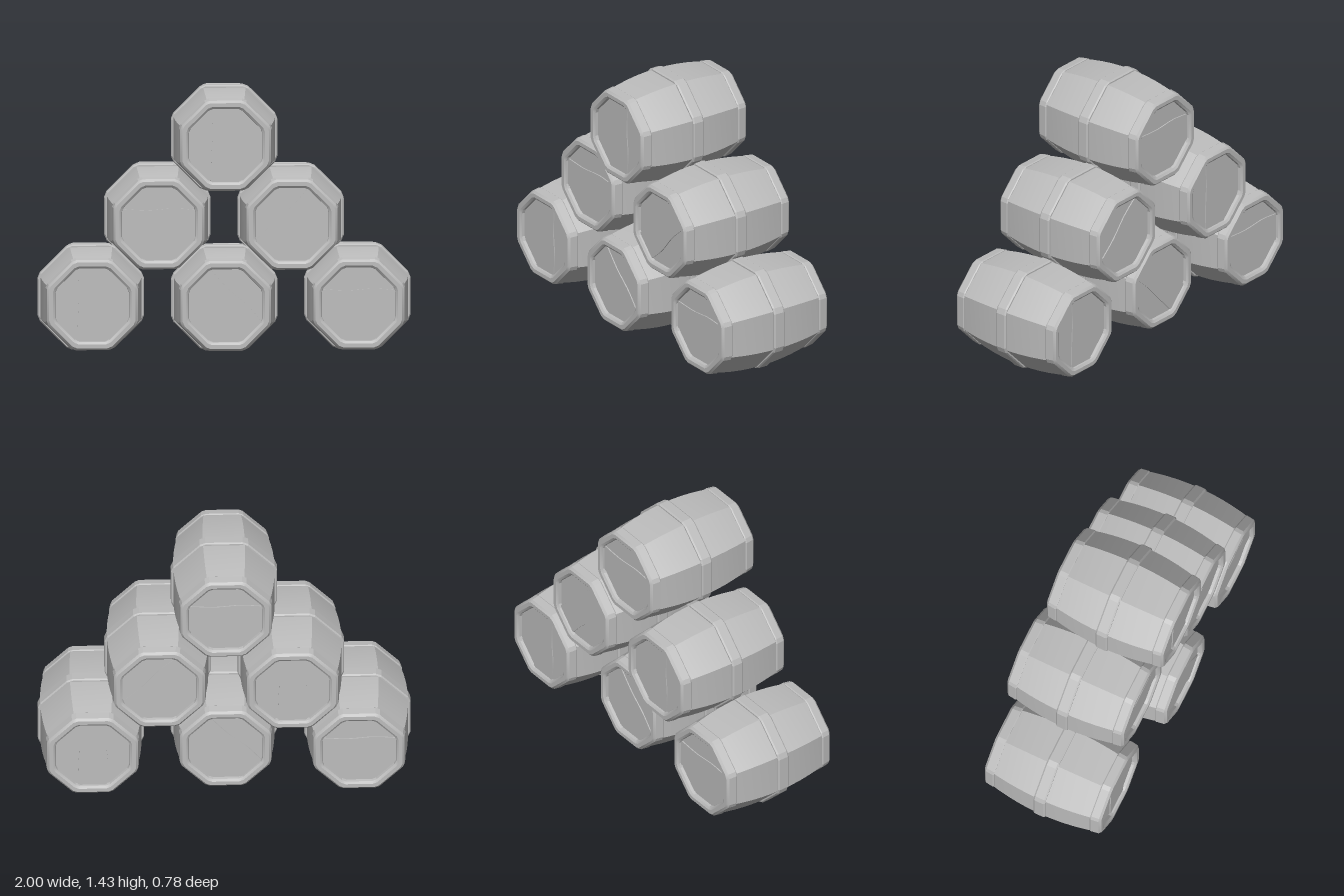
import * as THREE from 'three';
import { toCreasedNormals } from 'three/addons/utils/BufferGeometryUtils.js';

const wood = new THREE.MeshStandardMaterial({ color: 0xbcbcbc });
wood.name = 'grey wood';

// Octagon with flat sides at distance a from the axis; chamfer trims its corners
function octagon(a, chamfer = 0) {
  const half = a * Math.tan(Math.PI / 8) - chamfer;
  const points = [];
  for (let k = 0; k < 8; k++) {
    const t = (k * Math.PI) / 4;
    for (const s of chamfer ? [-half, half] : [half]) {
      points.push(new THREE.Vector2(a * Math.cos(t) - s * Math.sin(t), a * Math.sin(t) + s * Math.cos(t)));
    }
  }
  return points;
}

// Skin over octagonal sections, profile = [distance, z] from back to front
function loft(profile, chamfer) {
  const pos = [];
  const rings = profile.map(([a, z]) => octagon(a, chamfer).map(p => [p.x, p.y, z]));
  for (let r = 0; r < rings.length - 1; r++) {
    const A = rings[r], B = rings[r + 1], n = A.length;
    for (let i = 0; i < n; i++) {
      const j = (i + 1) % n;
      pos.push(...A[i], ...A[j], ...B[j], ...A[i], ...B[j], ...B[i]);
    }
  }
  const geometry = new THREE.BufferGeometry();
  geometry.setAttribute('position', new THREE.Float32BufferAttribute(pos, 3));
  return toCreasedNormals(geometry, 0.3);
}

// Bulging stave body
const bodyProfile = [];
for (let i = 0; i <= 10; i++) {
  const u = i / 5 - 1;
  bodyProfile.push([0.272 - 0.037 * u * u, u * 0.325]);
}
const bodyGeometry = loft(bodyProfile, 0);

// Middle hoop and end rim
const hoopGeometry = loft([[0.262, -0.034], [0.279, -0.034], [0.285, -0.026],
  [0.285, 0.026], [0.279, 0.034], [0.262, 0.034]], 0.018);
const rimGeometry = loft([[0.23, 0.285], [0.246, 0.285], [0.25, 0.291], [0.244, 0.335],
  [0.232, 0.347], [0.211, 0.347], [0.199, 0.338], [0.196, 0.315]], 0.014);

// Recessed head with a raised wavy middle plank
const headGeometry = new THREE.ShapeGeometry(new THREE.Shape(octagon(0.205)));
headGeometry.translate(0, 0, 0.322);
const plank = new THREE.Shape();
plank.moveTo(-0.08, -0.2);
plank.lineTo(0.075, -0.2);
plank.splineThru([[0.084, -0.08], [0.074, 0.06], [0.082, 0.2]].map(p => new THREE.Vector2(...p)));
plank.lineTo(-0.078, 0.2);
plank.splineThru([[-0.07, 0.08], [-0.076, -0.06], [-0.08, -0.2]].map(p => new THREE.Vector2(...p)));
const plankGeometry = new THREE.ExtrudeGeometry(plank, { depth: 0.008, bevelEnabled: false, curveSegments: 6 });
plankGeometry.translate(0, 0, 0.32);

function add(parent, name, geometry) {
  const mesh = new THREE.Mesh(geometry, wood);
  mesh.name = name;
  parent.add(mesh);
}

function makeBarrel() {
  const barrel = new THREE.Group();
  add(barrel, 'staves', bodyGeometry);
  add(barrel, 'middleHoop', hoopGeometry);
  for (const side of ['front', 'back']) {
    const end = new THREE.Group();
    end.name = side + 'End';
    add(end, 'rim', rimGeometry);
    add(end, 'head', headGeometry);
    add(end, 'headPlank', plankGeometry);
    // The back planks run across the front ones
    if (side === 'back') end.rotation.set(0, Math.PI, Math.PI / 2);
    barrel.add(end);
  }
  return barrel;
}

export function createModel() {
  const model = new THREE.Group();
  model.name = 'barrelStack';
  // x, y, z, roll in eighths of a turn
  const places = [
    [-0.715, 0.285, -0.005, 0], [0, 0.285, 0.04, 1], [0.715, 0.285, -0.003, 2],
    [-0.357, 0.717, -0.043, 2], [0.357, 0.717, -0.008, -1],
    [0, 1.15, 0.02, 0],
  ];
  places.forEach(([x, y, z, roll], i) => {
    const barrel = makeBarrel();
    barrel.name = 'barrel' + (i + 1);
    barrel.position.set(x, y, z);
    barrel.rotation.z = (roll * Math.PI) / 4;
    model.add(barrel);
  });
  return model;
}
